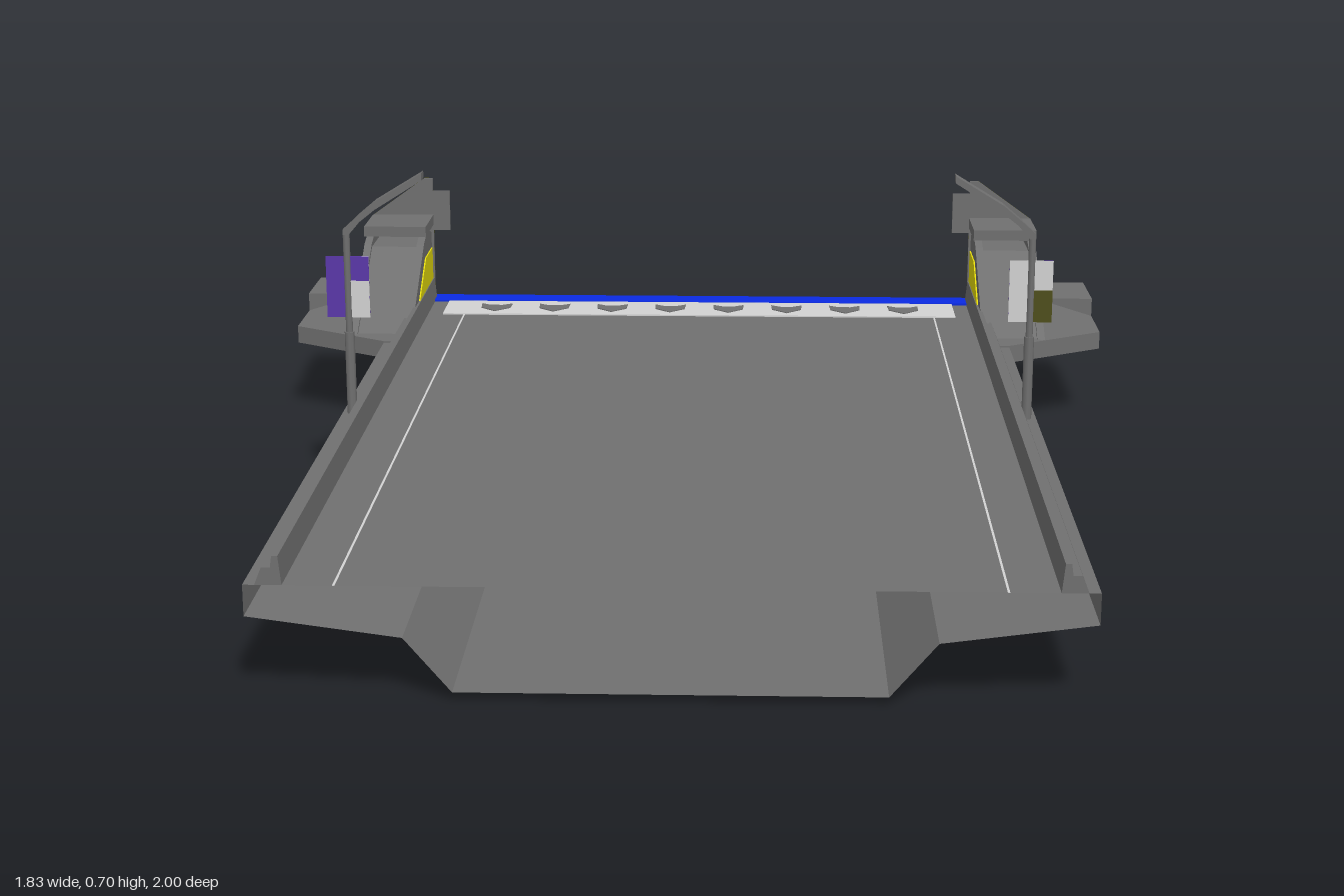
import * as THREE from 'three';

const mat = (name, color, side = THREE.FrontSide) => {
  const m = new THREE.MeshStandardMaterial({ color, side });
  m.name = name;
  return m;
};

export function createModel() {
  const root = new THREE.Group();
  root.name = 'bridgeSection';
  const grey = mat('concreteGrey', 0x707070, THREE.DoubleSide);
  const light = mat('paleGrey', 0xd2d2d2);
  const blue = mat('blue', 0x0a2ae2);
  const yellow = mat('yellow', 0xe2d80c);
  const olive = mat('olive', 0x4e4e1c);
  const purple = mat('purple', 0x5a38a8);

  const add = (name, geo, material, parent = root) => {
    const mesh = new THREE.Mesh(geo, material);
    mesh.name = name;
    parent.add(mesh);
    return mesh;
  };
  // Box given by its extents; x limits may come in either order
  const box = (name, x0, x1, y0, y1, z0, z1, material, parent) => {
    const g = new THREE.BoxGeometry(Math.abs(x1 - x0), y1 - y0, z1 - z0);
    g.translate((x0 + x1) / 2, (y0 + y1) / 2, (z0 + z1) / 2);
    return add(name, g, material, parent);
  };
  const extrude = (pts, depth) => new THREE.ExtrudeGeometry(
    new THREE.Shape(pts.map(([x, y]) => new THREE.Vector2(x, y))),
    { depth, bevelEnabled: false });
  // Prisms along each axis: points are [z,y], [x,z] and [x,y]
  const prismX = (pts, x0, x1) =>
    extrude(pts.map(([z, y]) => [-z, y]), Math.abs(x1 - x0))
      .rotateY(Math.PI / 2).translate(Math.min(x0, x1), 0, 0);
  const prismY = (pts, y0, y1) =>
    extrude(pts.map(([x, z]) => [x, -z]), y1 - y0)
      .rotateX(-Math.PI / 2).translate(0, y0, 0);
  const prismZ = (pts, z0, z1) => extrude(pts, z1 - z0).translate(0, 0, z0);
  const symmetric = (half) => [...half, ...half.map(([x, y]) => [-x, y]).reverse()];
  // Thin sheet following a closed profile from z0 to z1
  const sheet = (pts, z0, z1) => {
    const loop = [...pts, pts[0]];
    const g = new THREE.PlaneGeometry(1, 1, loop.length - 1, 1);
    const p = g.attributes.position;
    for (let i = 0; i < p.count; i++) {
      p.setXYZ(i, ...loop[i % loop.length], i < loop.length ? z0 : z1);
    }
    const flat = g.toNonIndexed();
    flat.computeVertexNormals();
    return flat;
  };

  // Hollow girder, open at its front end
  add('deckGirder', sheet(symmetric(
    [[0.7, 0.2], [0.7, 0.145], [0.44, 0.11], [0.36, 0.015]]), -0.992, 1), grey);

  // Rear bulkhead, cut away behind the yellow strip
  add('endPlate', prismZ(symmetric([
    [0.635, 0.13], [0.635, 0.199], [0.71, 0.199], [0.71, 0.1], [0.44, 0.1], [0.36, 0],
  ]), -0.994, -0.95), grey);
  box('yellowStrip', -0.635, 0.635, 0.13, 0.199, -0.998, -0.993, yellow);
  for (let i = 0; i < 8; i++) {
    const x = -0.62 + i * 0.177;
    add('stripMark', prismZ([
      [x - 0.029, 0.198], [x + 0.029, 0.198], [x + 0.029, 0.168], [x + 0.018, 0.162],
      [x + 0.018, 0.15], [x - 0.018, 0.15], [x - 0.018, 0.162], [x - 0.029, 0.168],
    ], -1, -0.991), grey);
  }

  // Painted bands on the deck
  box('blueBand', -0.64, 0.64, 0.199, 0.204, -1, -0.94, blue);
  box('paleBand', -0.6, 0.6, 0.199, 0.203, -0.94, -0.815, light);
  for (let i = 0; i < 8; i++) {
    const x = -0.481 + i * 0.1375;
    add('bandMark', prismY([
      [x - 0.036, -0.908], [x - 0.014, -0.893], [x + 0.014, -0.893], [x + 0.036, -0.908],
      [x + 0.034, -0.87], [x, -0.838], [x - 0.034, -0.87],
    ], 0.2, 0.205), grey);
  }

  for (const s of [1, -1]) {
    const side = new THREE.Group();
    side.name = s > 0 ? 'leftSide' : 'rightSide';
    root.add(side);
    const flip = (pts) => pts.map(([x, y]) => [s * x, y]);

    box('edgeLine', s * 0.548, s * 0.552, 0.1995, 0.2008, -0.815, 1, light, side);

    // Stepped kerb
    add('kerb', prismZ(flip([
      [0.635, 0.2], [0.64, 0.25], [0.65, 0.25], [0.653, 0.23], [0.668, 0.23], [0.68, 0.2],
    ]), -0.984, 1), grey, side);

    // Rear outrigger platform
    add('platform', prismY(flip([
      [0.64, -0.994], [0.917, -0.994], [0.917, -0.68], [0.7, -0.55], [0.64, -0.55],
    ]), 0.165, 0.204), grey, side);
    add('platformWedge', prismZ(flip([
      [0.785, 0.245], [0.917, 0.245], [0.917, 0.204],
    ]), -0.994, -0.83), grey, side);

    // Sloped housing: recessed core between raised cheeks
    add('housingCore', prismX([
      [-0.61, 0.2], [-0.855, 0.353], [-0.985, 0.353], [-0.985, 0.2],
    ], s * 0.66, s * 0.77), grey, side);
    for (const [a, b] of [[0.645, 0.662], [0.768, 0.785]]) {
      add('housingCheek', prismX([
        [-0.6, 0.2], [-0.85, 0.36], [-0.92, 0.382], [-0.985, 0.36], [-0.985, 0.2],
      ], s * a, s * b), grey, side);
    }
    box('housingCap', s * 0.64, s * 0.785, 0.378, 0.402, -0.99, -0.85, grey, side);
    add('yellowPanel', prismX([
      [-0.74, 0.25], [-0.86, 0.325], [-0.975, 0.325], [-0.975, 0.25],
    ], s * 0.642, s * 0.645), yellow, side);

    // Tall slanted back wall with its painted rear face
    const wall = flip([[0.64, 0.2], [0.785, 0.2], [0.785, 0.4], [0.66, 0.49], [0.64, 0.49]]);
    add('backWall', prismZ(wall, -0.997, -0.99), grey, side);
    add('backWallPaint', prismZ(wall, -1, -0.997), olive, side);
    box('wallFlag', s * 0.6, s * 0.64, 0.365, 0.46, -0.997, -0.99, grey, side);

    // Street lamp
    const lamp = new THREE.Group();
    lamp.name = 'streetLamp';
    side.add(lamp);
    const pole = (r, y0, y1) => new THREE.CylinderGeometry(r, r, y1 - y0, 8)
      .translate(s * 0.68, (y0 + y1) / 2, 0.004);
    add('poleBase', pole(0.01, 0.2, 0.37), grey, lamp);
    add('pole', pole(0.007, 0.37, 0.575), grey, lamp);
    add('lampArm', prismZ(flip([
      [0.686, 0.57], [0.686, 0.58], [0.655, 0.608], [0.655, 0.592], [0.674, 0.57],
    ]), -0.004, 0.012), grey, lamp);
    add('lampHead', prismZ(flip([
      [0.66, 0.59], [0.66, 0.604], [0.62, 0.638], [0.525, 0.696], [0.525, 0.682], [0.62, 0.622],
    ]), -0.013, 0.019), grey, lamp);

    // Thin two-sided sign, turned half round between the two lamps
    const sign = new THREE.Group();
    sign.name = 'lampSign';
    sign.position.set(s * 0.68, 0.4, 0.004);
    sign.rotation.y = s > 0 ? 0 : Math.PI;
    lamp.add(sign);
    box('palePanel', -0.043, 0.043, 0, 0.125, 0, 0.001, light, sign);
    box('olivePatch', 0, 0.043, 0, 0.065, 0.001, 0.002, olive, sign);
    box('purplePanel', -0.043, 0.043, 0, 0.125, -0.001, 0, purple, sign);
    box('palePatch', -0.043, 0, 0, 0.075, -0.002, -0.001, light, sign);
  }
  return root;
}
